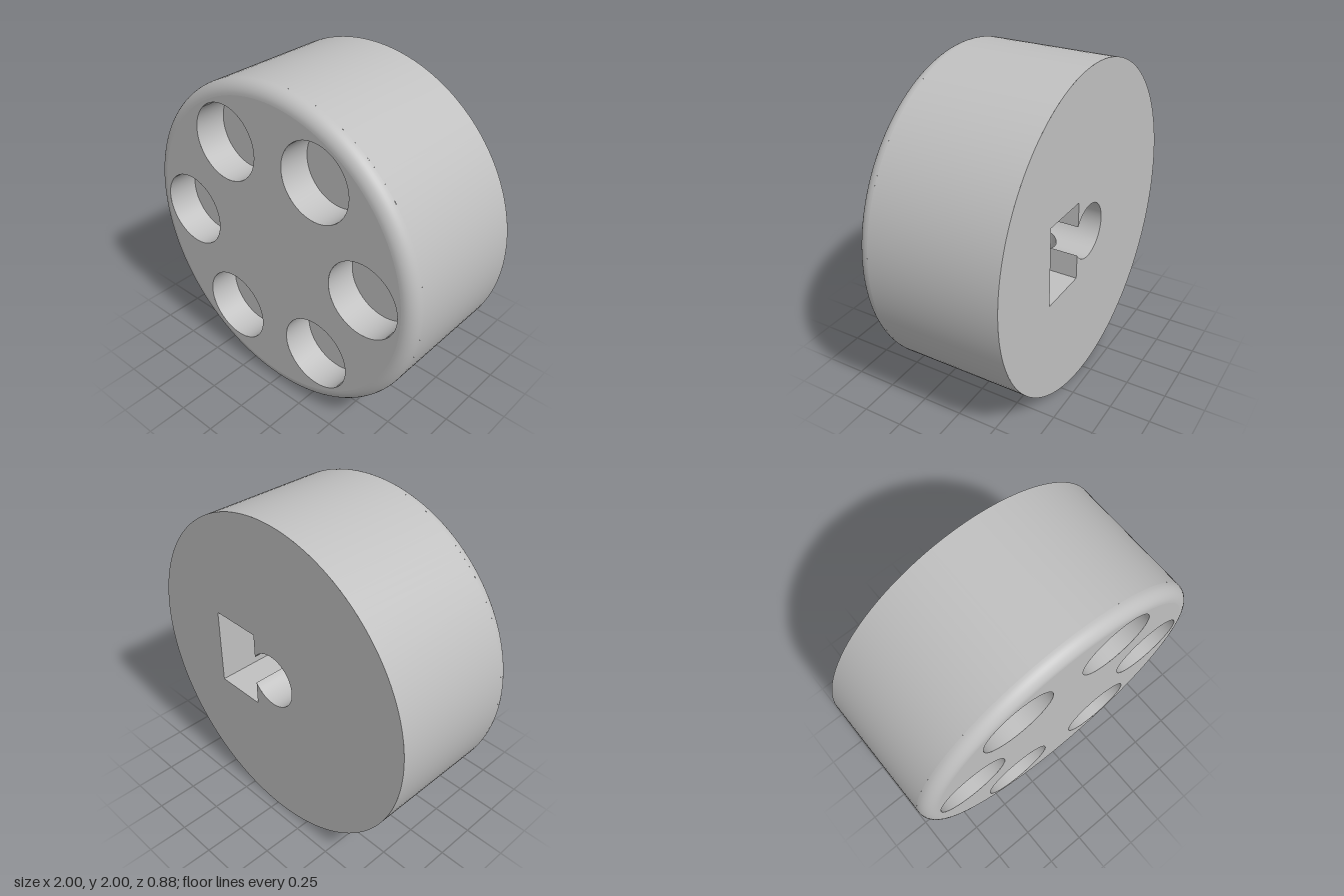
import * as THREE from 'three';

const R = 1, BACK = -0.44, FRONT = 0.44, FILLET = 0.08;
const POCKET_R = 0.232, POCKET_RING = 0.667, POCKET_DEPTH = 0.2;
const BORE_R = 0.17, CAVITY_END = 0.21;
const SLOT = { x0: 0.142, x1: 0.468, h: 0.247 };
const SCREW_R = 0.09, SCREW_Z = -0.13, PATCH = 0.12;

// Open cylinder wall along z; angle runs from the bottom towards +x
function wall(r, z0, z1, start = 0, end = Math.PI * 2, segments = 128) {
  const g = new THREE.CylinderGeometry(r, r, z1 - z0, segments, 1, true, start, end - start);
  return g.rotateX(Math.PI / 2).translate(0, 0, (z0 + z1) / 2);
}

// Bottom strip of a cylinder wall with the round screw hole cut through it
function drilledStrip(r, z0, z1) {
  const n = 16, rings = 8, count = n * 4, pos = [], index = [];
  const corners = [[PATCH, z1], [-PATCH, z1], [-PATCH, z0], [PATCH, z0]];
  for (let j = 0; j <= rings; j++) {
    for (let i = 0; i < count; i++) {
      const side = Math.floor(i / n), t = (i % n) / n, s = j / rings;
      const a = corners[side], b = corners[(side + 1) % 4];
      const angle = Math.PI / 4 + (i / count) * Math.PI * 2;
      const x = THREE.MathUtils.lerp(SCREW_R * Math.cos(angle), a[0] + (b[0] - a[0]) * t, s);
      const z = THREE.MathUtils.lerp(SCREW_Z + SCREW_R * Math.sin(angle), a[1] + (b[1] - a[1]) * t, s);
      pos.push(x, -Math.sqrt(r * r - x * x), z);
      if (j < rings) {
        const p = j * count + i, q = j * count + (i + 1) % count;
        index.push(p, p + count, q, q, p + count, q + count);
      }
    }
  }
  const g = new THREE.BufferGeometry();
  g.setAttribute('position', new THREE.Float32BufferAttribute(pos, 3));
  g.setIndex(index);
  g.computeVertexNormals();
  return g;
}

// Outline of the bore joined with the rectangular slot
const meetAngle = Math.acos(SLOT.x0 / BORE_R);
const meetY = BORE_R * Math.sin(meetAngle);
const slotPoints = [
  [SLOT.x0, -meetY], [SLOT.x0, -SLOT.h], [SLOT.x1, -SLOT.h],
  [SLOT.x1, SLOT.h], [SLOT.x0, SLOT.h], [SLOT.x0, meetY],
];
function traceCavity(path) {
  slotPoints.forEach(([x, y], i) => (i ? path.lineTo(x, y) : path.moveTo(x, y)));
  path.absarc(0, 0, BORE_R, meetAngle, Math.PI * 2 - meetAngle, false);
  return path;
}

export function createModel() {
  const grey = new THREE.MeshStandardMaterial({ color: 0xc0c0c0, side: THREE.DoubleSide });
  grey.name = 'light grey';
  const model = new THREE.Group();
  model.name = 'roundKnob';
  const body = new THREE.Group();
  body.name = 'body';
  body.position.y = R;
  model.add(body);
  const add = (name, geometry) => {
    const mesh = new THREE.Mesh(geometry, grey);
    mesh.name = name;
    body.add(mesh);
    return mesh;
  };

  // Outer rim, with the drilled strip at the bottom
  const rimGap = Math.asin(PATCH / R);
  add('rim', wall(R, BACK, FRONT - FILLET, rimGap, Math.PI * 2 - rimGap));
  add('drilledRim', drilledStrip(R, BACK, FRONT - FILLET));

  // Rounded front edge
  const profile = [];
  for (let i = 0; i <= 10; i++) {
    const a = (i / 10) * Math.PI / 2;
    profile.push(new THREE.Vector2(R - FILLET + FILLET * Math.cos(a), FRONT - FILLET + FILLET * Math.sin(a)));
  }
  add('roundedEdge', new THREE.LatheGeometry(profile, 128).rotateX(Math.PI / 2));

  // Front face with six round blind pockets
  const face = new THREE.Shape().absarc(0, 0, R - FILLET, 0, Math.PI * 2);
  for (let i = 0; i < 6; i++) {
    const a = i * Math.PI / 3, x = POCKET_RING * Math.cos(a), y = POCKET_RING * Math.sin(a);
    face.holes.push(new THREE.Path().absarc(x, y, POCKET_R, 0, Math.PI * 2, true));
    add('pocketWall', wall(POCKET_R, FRONT - POCKET_DEPTH, FRONT, 0, Math.PI * 2, 64)).position.set(x, y, 0);
    add('pocketFloor', new THREE.CircleGeometry(POCKET_R, 64)).position.set(x, y, FRONT - POCKET_DEPTH);
  }
  add('frontFace', new THREE.ShapeGeometry(face, 64)).position.z = FRONT;

  // Back face with the bore and slot opening
  const back = new THREE.Shape().absarc(0, 0, R, 0, Math.PI * 2);
  back.holes.push(traceCavity(new THREE.Path()));
  add('backFace', new THREE.ShapeGeometry(back, 64).rotateY(Math.PI)
    .scale(-1, 1, 1)).position.z = BACK;
  add('cavityFloor', new THREE.ShapeGeometry(traceCavity(new THREE.Shape()), 48)).position.z = CAVITY_END;

  // Flat slot walls
  const depth = CAVITY_END - BACK;
  for (let i = 0; i < slotPoints.length - 1; i++) {
    const [ax, ay] = slotPoints[i], [bx, by] = slotPoints[i + 1];
    const g = new THREE.PlaneGeometry(Math.hypot(bx - ax, by - ay), depth).rotateX(Math.PI / 2);
    const side = add('slotWall', g);
    side.rotation.z = Math.atan2(by - ay, bx - ax);
    side.position.set((ax + bx) / 2, (ay + by) / 2, (BACK + CAVITY_END) / 2);
  }

  // Bore wall on both sides of the slot, drilled at the bottom
  const boreGap = Math.asin(PATCH / BORE_R), right = Math.PI / 2;
  add('boreWall', wall(BORE_R, BACK, CAVITY_END, boreGap, right - meetAngle, 8));
  add('boreWall', wall(BORE_R, BACK, CAVITY_END, right + meetAngle, Math.PI * 2 - boreGap, 40));
  add('drilledBore', drilledStrip(BORE_R, BACK, CAVITY_END));

  // Screw hole from the rim up into the bore, ends fitted to both curved walls
  const screw = new THREE.CylinderGeometry(SCREW_R, SCREW_R, 1, 64, 1, true);
  const p = screw.attributes.position;
  for (let i = 0; i < p.count; i++) {
    const r = p.getY(i) > 0 ? BORE_R : R;
    p.setY(i, -Math.sqrt(r * r - p.getX(i) ** 2));
  }
  add('screwHole', screw).position.z = SCREW_Z;

  return model;
}
